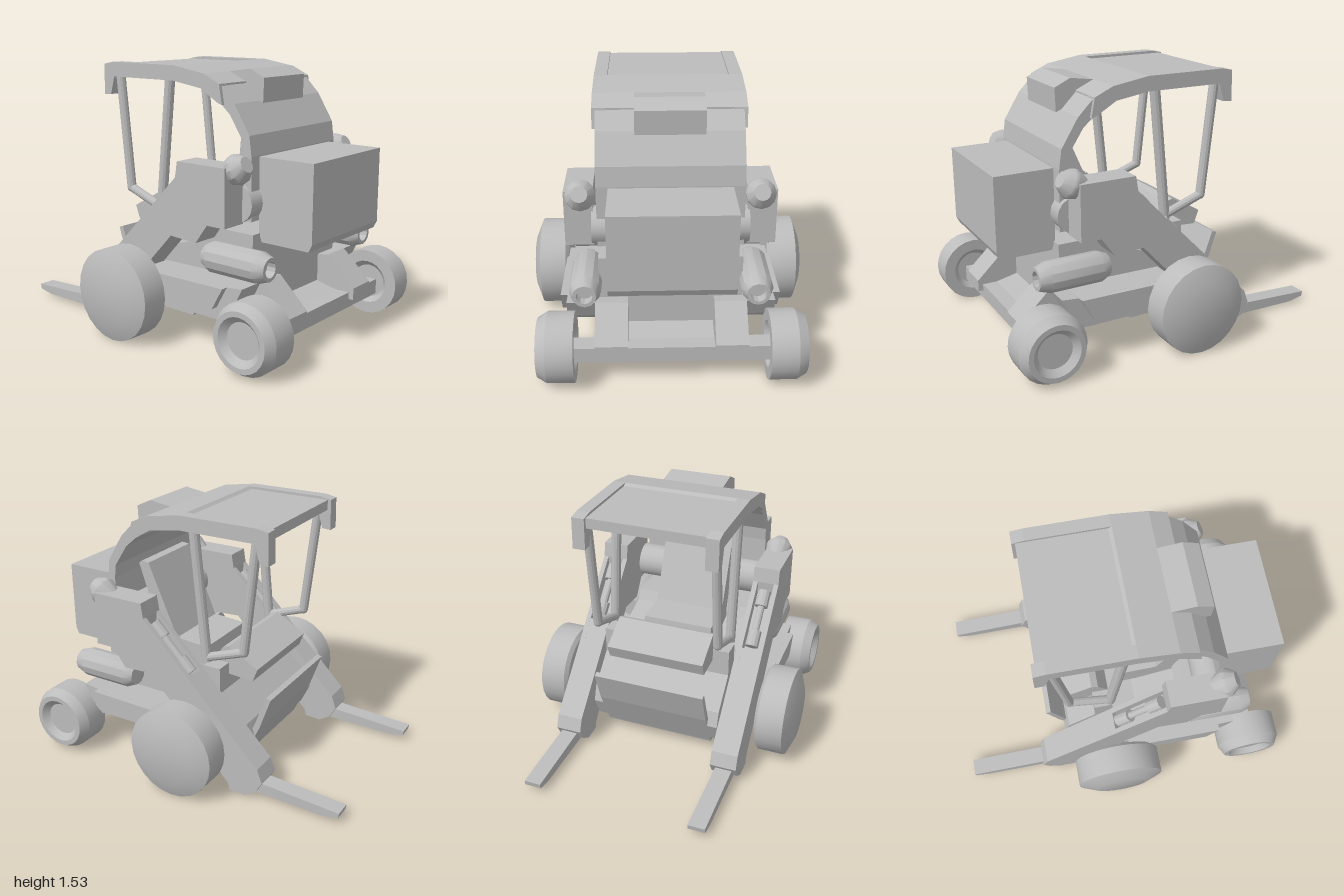
import * as THREE from 'three';
import { toCreasedNormals } from 'three/addons/utils/BufferGeometryUtils.js';

export function createModel() {
  const model = new THREE.Group();
  const grey = new THREE.MeshStandardMaterial({ color: 0xbcbcbc });
  grey.name = 'grey';

  const add = (name, geometry) => {
    const mesh = new THREE.Mesh(geometry, grey);
    mesh.name = name;
    model.add(mesh);
    return mesh;
  };
  // side profile in x and y, extruded from z0 to z1
  const slab = (name, points, z0, z1) => {
    const shape = new THREE.Shape(points.map(([x, y]) => new THREE.Vector2(x, y)));
    const geometry = new THREE.ExtrudeGeometry(shape, { depth: z1 - z0, bevelEnabled: false });
    return add(name, geometry.translate(0, 0, z0));
  };
  // the same profile on both sides
  const pair = (name, points, z0, z1) => {
    slab(name + 'Left', points, z0, z1);
    slab(name + 'Right', points, -z1, -z0);
  };
  const box = (name, x0, x1, y0, y1, z0, z1) =>
    add(name, new THREE.BoxGeometry(x1 - x0, y1 - y0, z1 - z0)
      .translate((x0 + x1) / 2, (y0 + y1) / 2, (z0 + z1) / 2));
  // turned part given as [radius, distance] along the line from a towards b
  const turned = (name, profile, a, b, sides) => {
    const lathe = new THREE.LatheGeometry(profile.map(([r, d]) => new THREE.Vector2(r, d)), sides);
    const mesh = add(name, toCreasedNormals(lathe, 0.5));
    const from = new THREE.Vector3(...a);
    const direction = new THREE.Vector3(...b).sub(from).normalize();
    mesh.position.copy(from);
    mesh.quaternion.setFromUnitVectors(new THREE.Vector3(0, 1, 0), direction);
    return mesh;
  };
  const rod = (name, a, b, r0, r1 = r0, sides = 12) => {
    const length = new THREE.Vector3(...a).distanceTo(new THREE.Vector3(...b));
    return turned(name, [[0, 0], [r0, 0], [r1, length], [0, length]], a, b, sides);
  };

  // chassis and lower body
  slab('chassis', [[-0.3, 0.125], [0.76, 0.125], [0.76, 0.22], [0.62, 0.25], [-0.36, 0.25]], -0.4, 0.4);
  slab('body', [[-0.36, 0.25], [0.63, 0.25], [0.63, 0.66], [0.4, 0.66], [0.36, 0.6], [0.1, 0.52],
    [-0.14, 0.52], [-0.33, 0.34]], -0.4, 0.4);
  slab('bellyPlate', [[-0.28, 0.078], [0.15, 0.078], [0.18, 0.126], [-0.3, 0.126]], -0.34, 0.34);
  slab('frontPanel', [[-0.46, 0.51], [-0.43, 0.52], [-0.36, 0.33], [-0.24, 0.08], [-0.28, 0.08], [-0.39, 0.31]], -0.34, 0.34);

  // side steps between the wheels
  pair('sideStep', [[0, 0.28], [0.58, 0.25], [0.64, 0.3], [0.7, 0.42], [0.6, 0.41], [0, 0.4]], 0.39, 0.58);
  pair('stepEdge', [[0.05, 0.285], [0.53, 0.285], [0.6, 0.41], [0.02, 0.4]], 0.57, 0.62);

  // rear axle and its brackets
  pair('rearBracket', [[0.6, 0.18], [0.88, 0.18], [0.88, 0.25], [0.7, 0.42], [0.6, 0.41]], 0.24, 0.42);
  box('rearAxle', 0.74, 0.85, 0.13, 0.22, -0.56, 0.56);
  rod('frontAxle', [-0.065, 0.27, -0.64], [-0.065, 0.27, 0.64], 0.065);

  // loader arm: two outer plates round a core with a notch for the ram
  const armLower = [[-0.33, 0.01], [-0.32, 0.05], [0.06, 0.47], [0.2, 0.62], [0.38, 0.61], [0.46, 0.72],
    [0.58, 0.72], [0.58, 1.04], [0.25, 1.04], [0.235, 0.95]];
  const armTip = [[-0.2, 0.51], [-0.51, 0.2], [-0.54, 0.12], [-0.5, 0.05], [-0.43, 0.005]];
  const notch = [[0.24, 0.87], [-0.02, 0.6], [-0.06, 0.65]];
  pair('armOuterPlate', [...armLower, ...armTip], 0.55, 0.578);
  pair('armInnerPlate', [...armLower, ...armTip], 0.42, 0.45);
  pair('armCore', [...armLower, ...notch, ...armTip], 0.45, 0.55);

  // forks
  pair('fork', [[-1, 0.072], [-0.995, 0.042], [-0.9, 0.025], [-0.34, 0.035], [-0.36, 0.11], [-0.51, 0.1]], 0.45, 0.55);

  for (const [side, s] of [['Left', 1], ['Right', -1]]) {
    // wheels
    const z = s * 0.61;
    turned('frontWheel' + side, [[0, 0], [0.24, 0], [0.265, 0.02], [0.265, 0.175], [0.165, 0.215], [0, 0.215]],
      [-0.065, 0.27, z], [-0.065, 0.27, s], 24);
    turned('rearWheel' + side, [[0, 0.03], [0.1, 0.03], [0.13, 0], [0.197, 0], [0.197, 0.15], [0.165, 0.205],
      [0.135, 0.205], [0.1, 0.17], [0, 0.17]], [0.8, 0.203, s * 0.53], [0.8, 0.203, s], 24);

    // lift ram in the arm notch
    rod('ram' + side, [0.0, 0.68, s * 0.5], [0.22, 0.9, s * 0.5], 0.022);
    rod('ramLowerCollar' + side, [-0.03, 0.65, s * 0.5], [0.04, 0.72, s * 0.5], 0.04);
    rod('ramUpperCollar' + side, [0.15, 0.83, s * 0.5], [0.22, 0.9, s * 0.5], 0.04);

    // exhaust canister with an open end
    turned('exhaust' + side, [[0, 0], [0.065, 0], [0.088, 0.05], [0.088, 0.36], [0.065, 0.425],
      [0.045, 0.425], [0.045, 0.37], [0, 0.37]], [0.375, 0.52, s * 0.47], [1, 0.52, s * 0.47], 12);

    // rear lamps
    turned('lamp' + side, [[0, 0], [0.055, 0], [0.085, 0.09], [0.082, 0.11], [0.045, 0.16], [0, 0.16]],
      [0.51, 0.98, s * 0.485], [0.64, 1.05, s * 0.485], 12);

    // cab posts
    const zp = s * 0.375;
    rod('frontPost' + side, [-0.38, 1.46, zp], [-0.305, 0.79, zp], 0.028);
    rod('lowerRail' + side, [-0.305, 0.79, zp], [-0.05, 0.7, zp], 0.026);
    rod('middlePost' + side, [0.018, 1.47, zp], [-0.06, 0.68, zp], 0.03);
    const joint = add('postJoint' + side, new THREE.SphereGeometry(0.028, 12, 8));
    joint.position.set(-0.305, 0.79, zp);
  }

  // roof with dropped front corners
  pair('roofRail', [[-0.475, 1.34], [-0.42, 1.345], [-0.39, 1.45], [0.08, 1.45], [0.28, 1.42], [0.4, 1.35],
    [0.43, 1.34], [0.41, 1.45], [0.3, 1.5], [0.08, 1.535], [-0.4, 1.535], [-0.47, 1.522]], 0.345, 0.42);
  slab('roofPanel', [[-0.45, 1.46], [0.08, 1.46], [0.28, 1.42], [0.41, 1.35], [0.41, 1.45], [0.3, 1.5],
    [0.08, 1.535], [0.06, 1.52], [-0.45, 1.52]], -0.345, 0.345);
  slab('rearCabShell', [[0.4, 1.35], [0.47, 1.29], [0.555, 1.16], [0.565, 1.08], [0.565, 0.73], [0.62, 0.73],
    [0.615, 1.08], [0.6, 1.19], [0.5, 1.35], [0.41, 1.44]], -0.4, 0.4);
  slab('roofUnit', [[0.3, 1.5], [0.38, 1.4], [0.53, 1.34], [0.535, 1.475], [0.44, 1.52]], -0.19, 0.19);

  // rear engine box and arm pivot
  slab('engineBox', [[0.62, 0.67], [0.64, 0.61], [0.94, 0.61], [0.96, 0.65], [0.96, 1.075], [0.62, 1.075]], -0.335, 0.335);
  rod('armPivot', [0.54, 0.825, -0.43], [0.54, 0.825, 0.43], 0.105, 0.105, 16);

  // seat and console
  slab('seatBack', [[0.24, 0.66], [0.36, 0.66], [0.52, 1.13], [0.5, 1.145], [0.45, 1.14]], -0.22, 0.22);
  slab('seatCushion', [[0.02, 0.52], [0.36, 0.55], [0.36, 0.7], [0.04, 0.68]], -0.22, 0.22);
  slab('console', [[-0.35, 0.66], [-0.32, 0.58], [-0.15, 0.59], [-0.06, 0.66], [-0.12, 0.75], [-0.16, 0.765]], -0.3, 0.3);
  box('consoleBase', -0.16, -0.05, 0.5, 0.66, -0.4, 0.4);

  return model;
}
